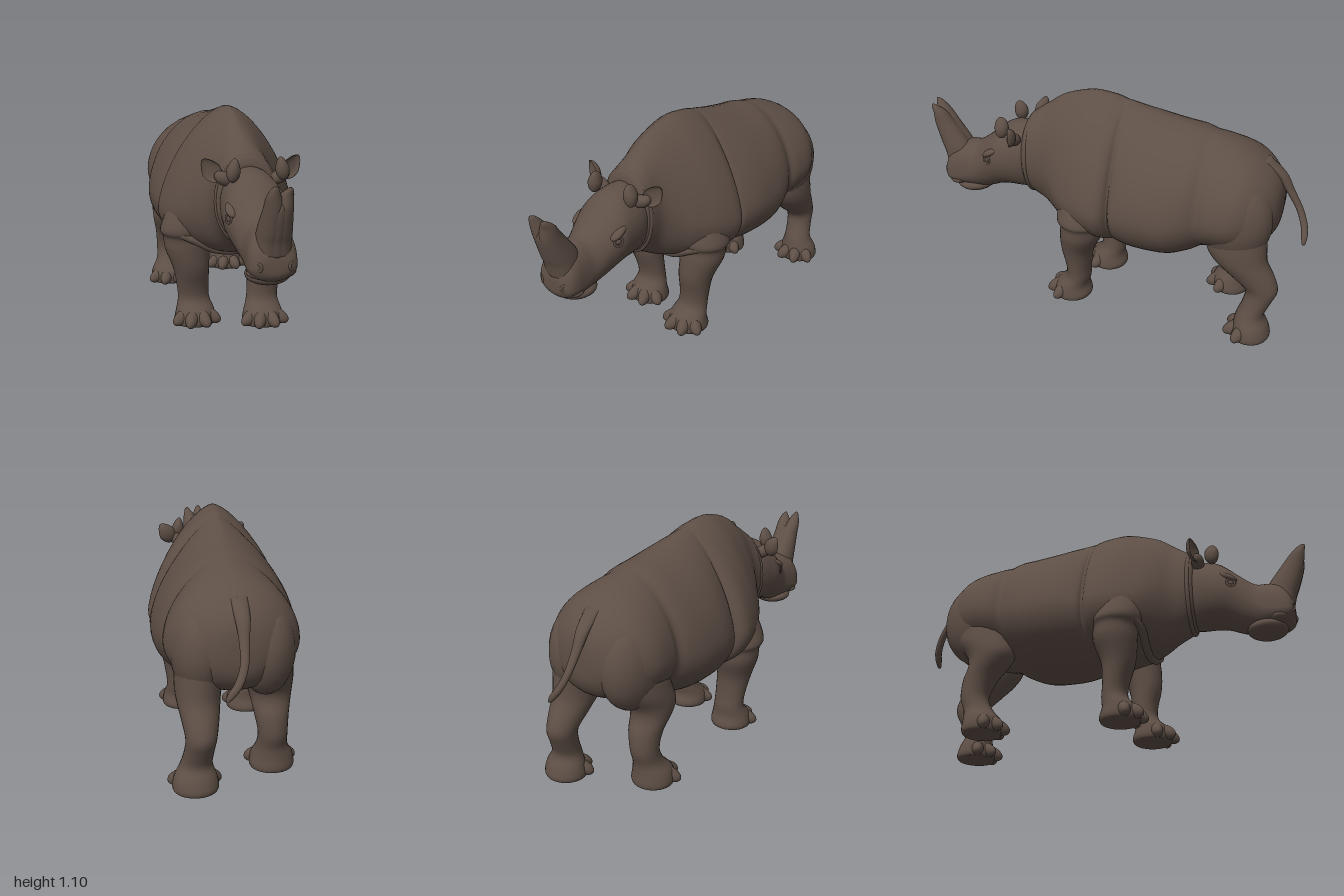
import * as THREE from 'three';

const hide = new THREE.MeshStandardMaterial({ color: 0x5e4f46 });
hide.name = 'brown hide';

// Smooth closed skin through key sections; place() turns (section, angle) into a point.
function loft(keys, place, steps = 5, seg = 32) {
  const rings = [];
  for (let i = 0; i < keys.length - 1; i++) {
    const k = [-1, 0, 1, 2].map(o => keys[Math.min(Math.max(i + o, 0), keys.length - 1)]);
    for (let s = 0; s < steps; s++) {
      const t = s / steps;
      rings.push(k[1].map((b, j) => {
        const a = k[0][j], c = k[2][j], d = k[3][j];
        return b + 0.5 * t * (c - a + t * (2 * a - 5 * b + 4 * c - d + t * (3 * (b - c) + d - a)));
      }));
    }
  }
  rings.push(keys[keys.length - 1]);
  const pos = [], index = [];
  for (const r of rings) {
    for (let j = 0; j < seg; j++) pos.push(...place(r, (j / seg) * Math.PI * 2));
  }
  for (let i = 0; i < rings.length - 1; i++) {
    for (let j = 0; j < seg; j++) {
      const a = i * seg + j, b = i * seg + (j + 1) % seg;
      index.push(a, b, a + seg, b, b + seg, a + seg);
    }
  }
  // End caps
  for (const end of [0, rings.length - 1]) {
    const mid = [0, 0, 0];
    for (let j = 0; j < seg; j++) for (let c = 0; c < 3; c++) mid[c] += pos[(end * seg + j) * 3 + c] / seg;
    pos.push(...mid);
    const m = pos.length / 3 - 1;
    for (let j = 0; j < seg; j++) {
      const a = end * seg + j, b = end * seg + (j + 1) % seg;
      if (end === 0) index.push(m, b, a); else index.push(m, a, b);
    }
  }
  // Turn the faces outward if the enclosed volume comes out negative
  let volume = 0;
  const v = n => new THREE.Vector3().fromArray(pos, n * 3);
  for (let i = 0; i < index.length; i += 3) volume += v(index[i]).dot(v(index[i + 1]).cross(v(index[i + 2])));
  if (volume < 0) index.reverse();
  const geo = new THREE.BufferGeometry();
  geo.setAttribute('position', new THREE.Float32BufferAttribute(pos, 3));
  geo.setIndex(index);
  geo.computeVertexNormals();
  return geo;
}

// Section across z: [z, top, bottom, widest height, half width, roundness of the upper half, x]
const acrossZ = ([z, top, bottom, mid, w, p, x], a) => {
  const c = Math.cos(a), s = Math.sin(a), e = s > 0 ? 2 / p : 1;
  return [x + w * Math.sign(c) * Math.abs(c) ** e, s > 0 ? mid + (top - mid) * s ** e : mid + (mid - bottom) * s, z];
};
// Section across y: [y, x, z, rx, rz]
const acrossY = ([y, x, z, rx, rz], a) => [x + rx * Math.cos(a), y, z + rz * Math.sin(a)];

export function createModel() {
  const model = new THREE.Group();
  const add = (name, geo, parent = model) => {
    const mesh = new THREE.Mesh(geo, hide);
    mesh.name = name;
    parent.add(mesh);
    return mesh;
  };
  const blob = (name, p, r, parent) => {
    const mesh = add(name, new THREE.SphereGeometry(1, 24, 16), parent);
    mesh.position.set(...p);
    mesh.scale.set(...r);
    return mesh;
  };

  // Trunk with shoulder and flank creases
  add('body', loft([
    [0.45, 0.89, 0.56, 0.72, 0.11, 2, 0.01], [0.44, 0.92, 0.52, 0.72, 0.14, 2, 0.01],
    [0.41, 0.95, 0.50, 0.72, 0.15, 2, 0.01], [0.34, 1.0, 0.46, 0.70, 0.16, 1.8, 0.005],
    [0.27, 1.05, 0.42, 0.66, 0.21, 1.6, 0], [0.2, 1.08, 0.40, 0.62, 0.265, 1.5, 0],
    [0.1, 1.105, 0.37, 0.60, 0.315, 1.5, 0], [0, 1.097, 0.36, 0.59, 0.34, 1.5, 0],
    [-0.05, 1.085, 0.355, 0.59, 0.325, 1.5, 0], [-0.075, 1.08, 0.355, 0.59, 0.29, 1.5, 0],
    [-0.1, 1.075, 0.35, 0.59, 0.315, 1.5, 0], [-0.2, 1.05, 0.335, 0.60, 0.34, 1.6, 0],
    [-0.35, 1.02, 0.34, 0.60, 0.34, 1.7, 0], [-0.45, 1.005, 0.375, 0.62, 0.315, 1.8, 0],
    [-0.51, 0.99, 0.41, 0.63, 0.285, 1.8, 0], [-0.56, 0.98, 0.43, 0.64, 0.30, 1.8, 0],
    [-0.66, 0.95, 0.44, 0.65, 0.302, 1.9, 0], [-0.74, 0.91, 0.45, 0.66, 0.265, 2, 0],
    [-0.81, 0.85, 0.49, 0.66, 0.195, 2, 0], [-0.85, 0.78, 0.55, 0.66, 0.115, 2, 0],
    [-0.862, 0.70, 0.62, 0.66, 0.04, 2, 0],
  ], acrossZ, 4, 56));
  for (const s of [-1, 1]) blob('haunch', [s * 0.145, 0.63, -0.67], [0.135, 0.225, 0.18]);

  // Loose skin around the neck and across the chest
  const collar = add('neckFold', new THREE.TorusGeometry(1, 0.06, 12, 48));
  collar.position.set(0.01, 0.718, 0.42);
  collar.scale.set(0.146, 0.21, 0.18);
  const chest = [[-0.28, 0.505, 0.165], [-0.2, 0.472, 0.2], [-0.1, 0.42, 0.2], [0, 0.405, 0.195],
    [0.1, 0.42, 0.2], [0.2, 0.472, 0.2], [0.28, 0.505, 0.165]];
  add('chestFold', new THREE.TubeGeometry(
    new THREE.CatmullRomCurve3(chest.map(p => new THREE.Vector3(...p))), 48, 0.02, 12));

  // Head and jaw
  const x = 0.015;
  const head = new THREE.Group();
  head.name = 'head';
  model.add(head);
  add('skull', loft([
    [0.40, 0.87, 0.53, 0.72, 0.12, 2, x], [0.46, 0.88, 0.52, 0.71, 0.14, 2, x],
    [0.54, 0.87, 0.52, 0.69, 0.148, 2, x], [0.6, 0.835, 0.51, 0.68, 0.15, 2, x],
    [0.67, 0.775, 0.48, 0.64, 0.13, 2, x], [0.74, 0.725, 0.465, 0.58, 0.11, 2, x],
    [0.8, 0.715, 0.465, 0.55, 0.108, 2.3, x], [0.86, 0.70, 0.47, 0.54, 0.11, 2.4, x],
    [0.9, 0.65, 0.48, 0.54, 0.098, 2.3, x], [0.92, 0.60, 0.505, 0.55, 0.07, 2, x],
    [0.924, 0.57, 0.53, 0.55, 0.03, 2, x],
  ], acrossZ, 5, 40), head);
  blob('lowerLip', [x, 0.478, 0.785], [0.1, 0.042, 0.1], head);
  blob('upperLip', [x, 0.508, 0.85], [0.11, 0.034, 0.066], head);
  for (const s of [-1, 1]) {
    blob('brow', [x + s * 0.122, 0.728, 0.62], [0.028, 0.018, 0.05], head).rotation.x = 0.5;
    blob('eye', [x + s * 0.128, 0.69, 0.63], [0.016, 0.016, 0.02], head);
    const lid = add('eyelid', new THREE.TorusGeometry(0.02, 0.006, 8, 20), head);
    lid.position.set(x + s * 0.137, 0.69, 0.635);
    lid.rotation.y = s * 1.2;
    const nostril = add('nostril', new THREE.TorusGeometry(0.018, 0.007, 8, 20), head);
    nostril.position.set(x + s * 0.075, 0.55, 0.91);
    nostril.rotation.y = s * 0.7;
  }

  // Broad horn, cleft into two points at the tip
  const hornX = 0.02;
  add('hornCore', loft([
    [0.59, hornX, 0.863, 0.06, 0.06], [0.65, hornX, 0.865, 0.06, 0.072], [0.7, hornX, 0.879, 0.055, 0.077],
    [0.8, hornX, 0.929, 0.04, 0.056], [0.845, hornX, 0.945, 0.02, 0.03],
  ], acrossY, 5, 24), head);
  for (const [s, tip, drop] of [[-1, -0.008, 0], [1, 0.056, 0.008]]) {
    add('horn', loft([
      [0.59, hornX + s * 0.02, 0.86, 0.06, 0.06], [0.65, hornX + s * 0.02, 0.862, 0.058, 0.072],
      [0.7, hornX + s * 0.02, 0.876, 0.055, 0.077], [0.8, hornX + s * 0.02, 0.927, 0.044, 0.056],
      [0.86, hornX + s * 0.027, 0.957 - drop, 0.032, 0.036], [0.9 - drop, tip, 0.98 - drop, 0.015, 0.018],
      [0.912 - drop, tip, 0.99 - drop, 0.004, 0.006],
    ], acrossY, 5, 24), head);
  }

  // Ears: egg shapes pinched to a point, with the front pushed in to a cup
  const ear = (name, p, r, rot, cup) => {
    const geo = new THREE.SphereGeometry(1, 24, 18), at = geo.attributes.position;
    for (let i = 0; i < at.count; i++) {
      const y = at.getY(i), z = at.getZ(i);
      at.setX(i, at.getX(i) * (1 - 0.35 * Math.max(y, 0)));
      if (z > 0) at.setZ(i, z * cup);
    }
    geo.scale(...r);
    geo.computeVertexNormals();
    const mesh = add(name, geo, head);
    mesh.position.set(...p);
    mesh.rotation.set(...rot);
  };
  for (const s of [-1, 1]) {
    const ex = 0.022 + s * 0.19;
    ear('ear', [ex, 0.875, 0.47], [0.045, 0.062, 0.036], [0, s * 0.35, -s * 0.65], -0.45);
    blob('earRoot', [0.022 + s * 0.13, 0.835, 0.475], [0.05, 0.032, 0.032], head).rotation.z = s * 0.5;
    ear('earStub', [0.032 + s * 0.112, 0.885, 0.545], [0.032, 0.055, 0.04], [0, 0, s * 0.15], 0.8);
  }

  // Foot with four sloping toes fanned forward
  const toes = (parent, fx, fz) => {
    for (const a of [-1.1, -0.38, 0.38, 1.1]) {
      const toe = blob('toe', [fx + Math.sin(a) * 0.07, 0.05, fz + Math.cos(a) * 0.07], [0.033, 0.037, 0.07], parent);
      toe.rotation.set(0.42, a, 0, 'YXZ');
    }
  };
  const leg = (name, keys) => {
    const group = new THREE.Group();
    group.name = name;
    model.add(group);
    const [, fx, fz] = keys[keys.length - 1];
    add('limb', loft([...keys, [0.03, fx, fz, 0.105, 0.098], [0.008, fx, fz, 0.1, 0.093], [0.006, fx, fz, 0.09, 0.085]],
      acrossY, 4, 28), group);
    toes(group, fx, fz);
  };

  // Forelegs, the right one set further back, each with a skin fold at the shoulder
  for (const s of [1, -1]) {
    const back = y => (s < 0 ? 0.085 * Math.max(0, 1 - y / 0.55) : 0);
    leg(s > 0 ? 'leftForeleg' : 'rightForeleg', [
      [0.68, 0.17, 0.09, 0.06, 0.06], [0.62, 0.18, 0.09, 0.105, 0.1], [0.54, 0.195, 0.09, 0.125, 0.122],
      [0.495, 0.2, 0.09, 0.13, 0.125], [0.465, 0.198, 0.09, 0.117, 0.11], [0.4, 0.195, 0.1, 0.112, 0.106],
      [0.3, 0.178, 0.125, 0.091, 0.083], [0.2, 0.168, 0.125, 0.081, 0.064], [0.13, 0.163, 0.13, 0.08, 0.064],
      [0.075, 0.16, 0.162, 0.097, 0.085],
    ].map(([y, lx, z, rx, rz]) => [y, s * (lx + (s < 0 ? 0.015 : 0)), z - back(y), rx, rz]));
  }

  // Hind legs in mid stride
  leg('leftHindLeg', [
    [0.62, 0.145, -0.68, 0.11, 0.15], [0.5, 0.155, -0.685, 0.108, 0.15], [0.42, 0.158, -0.71, 0.1, 0.135],
    [0.34, 0.155, -0.775, 0.084, 0.11], [0.27, 0.155, -0.825, 0.07, 0.08], [0.2, 0.163, -0.81, 0.067, 0.068],
    [0.13, 0.174, -0.785, 0.073, 0.068], [0.075, 0.178, -0.792, 0.096, 0.085],
  ]);
  leg('rightHindLeg', [
    [0.62, -0.15, -0.66, 0.11, 0.15], [0.5, -0.17, -0.62, 0.112, 0.145], [0.42, -0.18, -0.58, 0.108, 0.122],
    [0.36, -0.185, -0.59, 0.095, 0.1], [0.29, -0.185, -0.63, 0.08, 0.085], [0.2, -0.19, -0.65, 0.068, 0.07],
    [0.13, -0.19, -0.625, 0.073, 0.073], [0.075, -0.195, -0.6, 0.096, 0.095],
  ]);

  // Tail swinging to one side at the tip
  add('tail', loft([
    [0.89, -0.01, -0.75, 0.04, 0.035], [0.82, -0.018, -0.835, 0.034, 0.028], [0.74, -0.02, -0.885, 0.024, 0.022],
    [0.65, -0.015, -0.94, 0.019, 0.018], [0.58, 0.01, -0.973, 0.02, 0.017], [0.535, 0.04, -0.984, 0.02, 0.015],
    [0.505, 0.06, -0.987, 0.01, 0.008],
  ], acrossY, 5, 18));

  return model;
}
